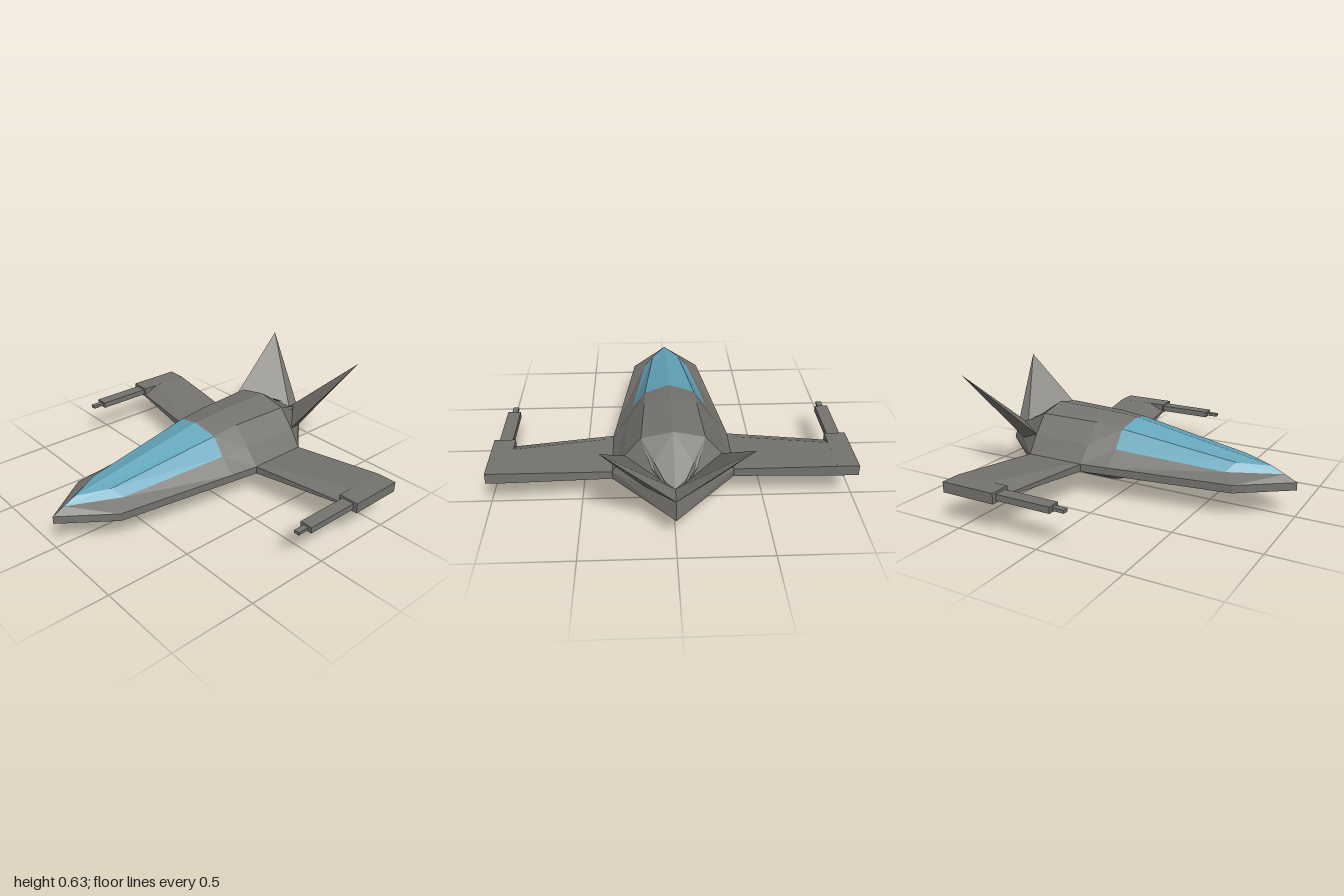
import * as THREE from 'three';

const hullMat = new THREE.MeshStandardMaterial({ color: 0x75736f, flatShading: true });
const glassMat = new THREE.MeshStandardMaterial({ color: 0x64a5bb, flatShading: true });

// Triangles between neighbouring cross-sections
function loft(rows) {
  const tris = [];
  for (let i = 0; i < rows.length - 1; i++) {
    for (let j = 0; j < rows[i].length - 1; j++) {
      const [a, b, c, d] = [rows[i][j], rows[i][j + 1], rows[i + 1][j + 1], rows[i + 1][j]];
      tris.push([a, b, c], [a, c, d]);
    }
  }
  return tris;
}

// Copy to the other side of the centre plane, keeping faces outward
const mirror = (tris) => tris.map(([a, b, c]) => [a, c, b].map(([x, y, z]) => [-x, y, z]));

function meshOf(name, tris, material) {
  const solid = tris.filter((t) => {
    const [a, b, c] = t.map((p) => new THREE.Vector3(...p));
    return new THREE.Triangle(a, b, c).getArea() > 1e-6;
  });
  const geometry = new THREE.BufferGeometry();
  geometry.setAttribute('position', new THREE.Float32BufferAttribute(solid.flat(2), 3));
  geometry.computeVertexNormals();
  const mesh = new THREE.Mesh(geometry, material);
  mesh.name = name;
  return mesh;
}

function box(name, x, y, z, w, h, d) {
  const mesh = new THREE.Mesh(new THREE.BoxGeometry(w, h, d), hullMat);
  mesh.position.set(x, y, z);
  mesh.name = name;
  return mesh;
}

export function createModel() {
  const group = new THREE.Group();

  // Half sections, nose to tail: ridge, shoulder, waist, rim top, rim bottom, keel
  const tip = [0, 0.235, 0.93];
  const tail = [0, 0.25, -0.87];
  const tailLow = [0, 0.155, -0.9];
  const sections = [
    [tip, tip, tip, [0, 0.2, 1], [0, 0.155, 1], [0, 0.155, 1]],
    [[0, 0.27, 0.86], [0.085, 0.285, 0.68], [0.14, 0.24, 0.64], [0.21, 0.2, 0.71], [0.21, 0.155, 0.71], [0, 0.126, 0.71]],
    [[0, 0.425, 0.02], [0.145, 0.387, 0], [0.22, 0.285, 0], [0.307, 0.2, 0], [0.307, 0.155, 0], [0, 0.07, 0.15]],
    [[0, 0.438, -0.17], [0.15, 0.405, -0.17], [0.25, 0.293, -0.17], [0.33, 0.2, -0.17], [0.33, 0.155, -0.17], [0, 0, -0.16]],
    [[0, 0.447, -0.53], [0.17, 0.412, -0.53], [0.26, 0.305, -0.53], [0.33, 0.2, -0.53], [0.33, 0.155, -0.53], [0, 0.085, -0.52]],
    [[0, 0.27, -0.79], [0.12, 0.325, -0.68], tail, tail, tailLow, tailLow],
    [tail, tail, tail, tail, tailLow, tailLow],
  ];
  const upper = sections.map((s) => s.slice(0, 3));
  const lower = sections.map((s) => s.slice(2));
  const hull = [...loft(lower), ...loft(upper.slice(2))];
  const canopy = loft(upper.slice(0, 3));
  group.add(meshOf('hull', [...hull, ...mirror(hull)], hullMat));
  group.add(meshOf('canopy', [...canopy, ...mirror(canopy)], glassMat));

  // Swept tail fin, a leaning wedge
  const front = [0.26, 0.305, -0.53];
  const side = [0.165, 0.23, -0.7];
  const mid = [0, 0.27, -0.79];
  const peak = [0.36, 0.635, -1];
  const fin = [[front, side, peak], [side, tail, peak], [tail, mid, peak], [mid, front, peak]];

  // Wing with a bevel widening towards the tip
  const wing = loft([
    [[0.32, 0.2, -0.53], [0.32, 0.2, -0.2], [0.32, 0.2, -0.17], [0.32, 0.155, -0.17], [0.32, 0.155, -0.53], [0.32, 0.2, -0.53]],
    [[0.88, 0.245, -0.59], [0.88, 0.245, -0.36], [0.88, 0.2, -0.26], [0.88, 0.185, -0.26], [0.88, 0.185, -0.59], [0.88, 0.245, -0.59]],
  ]);

  for (const [label, s] of [['left', 1], ['right', -1]]) {
    group.add(meshOf(label + 'Fin', s > 0 ? fin : mirror(fin), hullMat));
    group.add(meshOf(label + 'Wing', s > 0 ? wing : mirror(wing), hullMat));
    group.add(box(label + 'WingTip', s * 0.938, 0.215, -0.425, 0.12, 0.06, 0.33));
    group.add(box(label + 'Cannon', s * 0.935, 0.214, -0.1, 0.075, 0.036, 0.34));
    group.add(box(label + 'Barrel', s * 0.935, 0.213, 0.1, 0.032, 0.018, 0.08));
  }
  return group;
}
